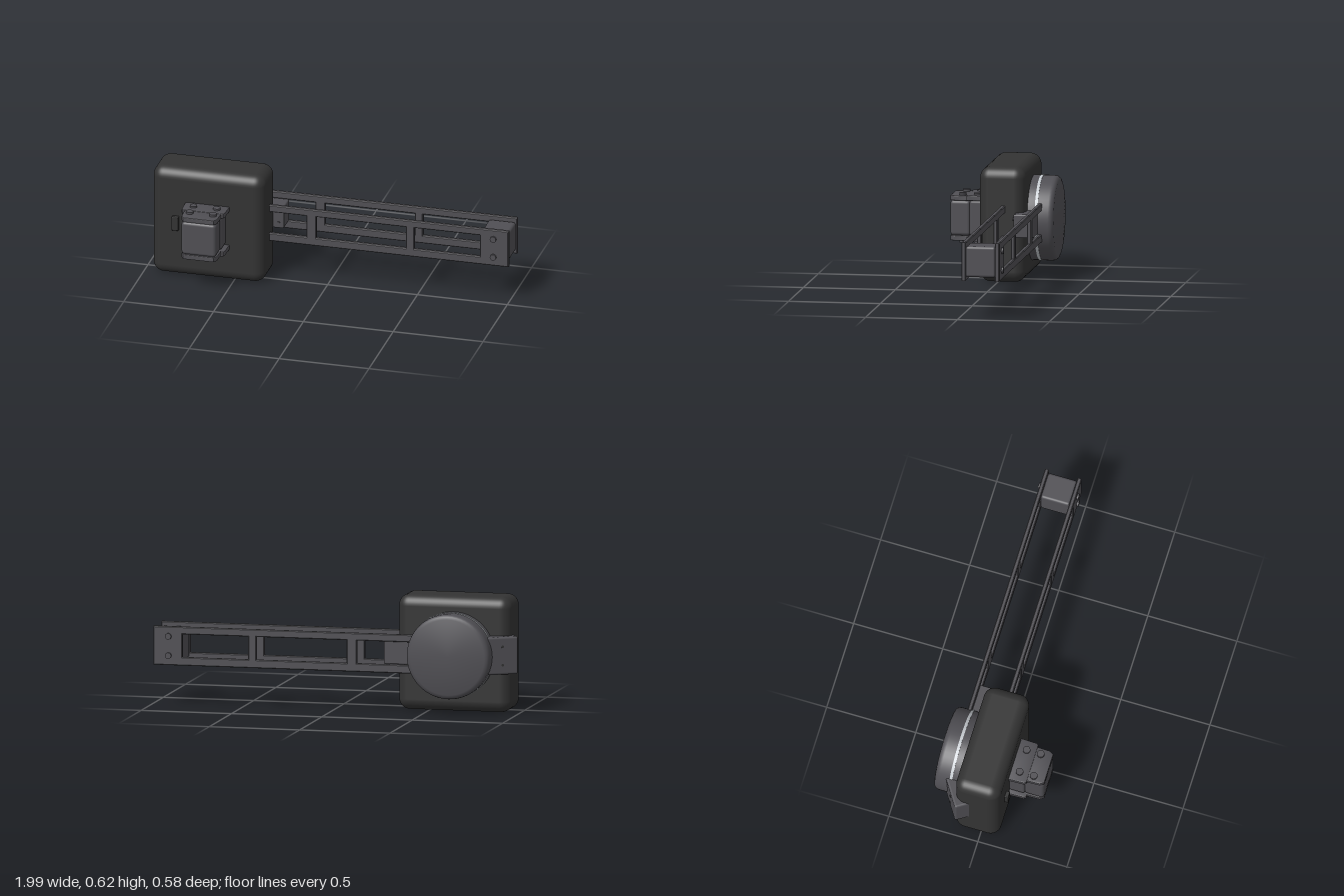
import * as THREE from 'three';
import { toCreasedNormals } from 'three/addons/utils/BufferGeometryUtils.js';
import { RoundedBoxGeometry } from 'three/addons/geometries/RoundedBoxGeometry.js';

const material = (name, color) => {
  const m = new THREE.MeshStandardMaterial({ color });
  m.name = name;
  return m;
};

export function createModel() {
  const black = material('black housing', 0x333333);
  const grey = material('dark grey', 0x504f54);
  const silver = material('silver trim', 0xc4c9ce);
  const model = new THREE.Group();
  const MID = 0.314; // height of the main axis
  const HEAD_X = -0.642;

  const add = (name, geometry, mat, x = 0, y = 0, z = 0, parent = model) => {
    const mesh = new THREE.Mesh(geometry, mat);
    mesh.name = name;
    mesh.position.set(x, y, z);
    parent.add(mesh);
    return mesh;
  };
  const rounded = (w, h, d, r, seg = 3) => new RoundedBoxGeometry(w, h, d, seg, r);

  // Main housing
  add('housing', rounded(0.625, 0.625, 0.25, 0.06, 5), black, HEAD_X, 0.3125, -0.025);
  add('frontButton', rounded(0.038, 0.08, 0.03, 0.004), black, -0.818, MID, 0.106);

  // Drum on the back, profile turned about z
  const profile = [[0, 0.1], [0.23, 0.1], [0.23, 0.262], [0.227, 0.275], [0.219, 0.285], [0.205, 0.29], [0, 0.29]]
    .map(([r, z]) => new THREE.Vector2(r, z));
  const drum = toCreasedNormals(new THREE.LatheGeometry(profile, 56).rotateX(-Math.PI / 2), 0.6);
  add('drum', drum, grey, HEAD_X, MID, 0);
  const ring = toCreasedNormals(new THREE.CylinderGeometry(0.2325, 0.2325, 0.015, 56).rotateX(Math.PI / 2), 0.6);
  add('drumRing', ring, silver, HEAD_X, MID, -0.1975);

  // Front bracket: two stacked blocks held between bolted plates
  const bracket = new THREE.Group();
  bracket.name = 'frontBracket';
  bracket.position.set(HEAD_X, MID, 0);
  model.add(bracket);
  add('bracketBase', rounded(0.2, 0.195, 0.11, 0.015), grey, 0, 0, 0.13, bracket);
  add('bracketBlock', rounded(0.192, 0.192, 0.11, 0.018), grey, 0, 0, 0.235, bracket);
  const plate = (points) => {
    const shape = new THREE.Shape(points.map(([x, z]) => new THREE.Vector2(x, z)));
    const bevel = 0.005;
    return toCreasedNormals(new THREE.ExtrudeGeometry(shape, {
      depth: 0.018, bevelThickness: bevel, bevelSize: bevel, bevelOffset: -bevel, bevelSegments: 2,
    }).translate(0, 0, -0.009).rotateX(Math.PI / 2), 0.6);
  };
  const basePlate = plate([[-0.123, 0.09], [0.123, 0.09], [0.12, 0.185], [0.112, 0.198], [-0.112, 0.198], [-0.12, 0.185]]);
  const tipPlate = plate([[-0.102, 0.19], [0.102, 0.19], [0.099, 0.268], [0.085, 0.29], [-0.085, 0.29], [-0.099, 0.268]]);
  const bolt = new THREE.CylinderGeometry(0.02, 0.02, 0.024, 20);
  for (const side of [-1, 1]) {
    add('bracketBasePlate', basePlate, grey, 0, side * 0.112, 0, bracket);
    add('bracketTipPlate', tipPlate, grey, 0, side * 0.109, 0, bracket);
    for (const x of [-0.065, 0.065])
      for (const z of [0.146, 0.225])
        add('bracketBolt', bolt, grey, x, side * 0.123, z, bracket);
  }

  // Ladder arm: two side plates with openings
  const rect = (Type, x0, x1, y0, y1) => new Type([[x0, y0], [x1, y0], [x1, y1], [x0, y1]]
    .map(([x, y]) => new THREE.Vector2(x, y)));
  const outline = rect(THREE.Shape, -0.5, 1, 0.21, 0.42);
  for (const [x0, x1] of [[-0.46, -0.125], [-0.07, 0.43], [0.475, 0.84]])
    outline.holes.push(rect(THREE.Path, x0, x1, 0.255, 0.38));
  const rail = new THREE.ExtrudeGeometry(outline, {
    depth: 0.015, bevelThickness: 0.004, bevelSize: 0.004, bevelOffset: -0.004, bevelSegments: 1,
  }).translate(0, 0, -0.0075);
  const armBolt = new THREE.CylinderGeometry(0.017, 0.017, 0.03, 20).rotateX(Math.PI / 2);
  for (const [z, out] of [[-0.0335, 1], [-0.2165, -1]]) {
    add('armSidePlate', rail, grey, 0, 0, z);
    for (const y of [0.262, 0.367]) add('armBolt', armBolt, grey, 0.916, y, z + out * 0.007);
  }
  add('armEndBlock', rounded(0.15, 0.168, 0.165, 0.015), grey, 0.918, MID, -0.125);

  // Block joining the arm to the housing
  add('armRootBlock', rounded(0.16, 0.128, 0.11, 0.008), grey, -0.35, 0.319, -0.153);
  const smallBolt = new THREE.CylinderGeometry(0.01, 0.01, 0.012, 14).rotateX(Math.PI / 2);
  for (const y of [0.285, 0.353]) add('rootBolt', smallBolt, grey, -0.3, y, -0.097);

  // Angled tab beside the drum
  const tab = new THREE.Group();
  tab.name = 'sideTab';
  tab.position.set(-0.888, MID + 0.003, -0.146);
  tab.rotation.y = 0.57;
  model.add(tab);
  add('tabBody', rounded(0.2, 0.205, 0.09, 0.012), grey, 0, 0, 0, tab);
  const stud = new THREE.CylinderGeometry(0.007, 0.007, 0.006, 12).rotateX(Math.PI / 2);
  for (const y of [-0.05, 0.05]) add('tabStud', stud, black, -0.01, y, -0.045, tab);

  return model;
}
